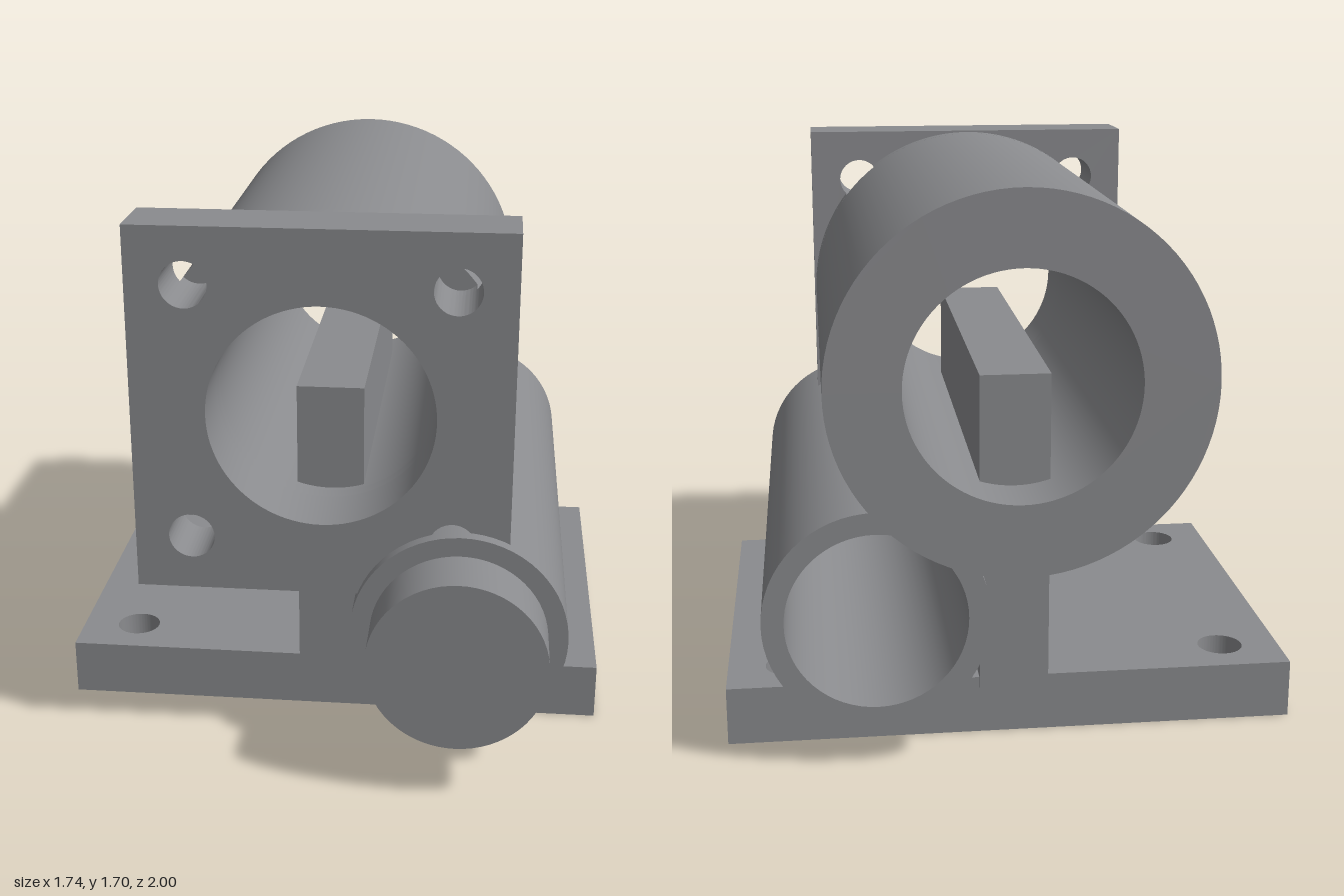
import * as THREE from 'three';
import { toCreasedNormals } from 'three/addons/utils/BufferGeometryUtils.js';

export function createModel() {
  const group = new THREE.Group();
  const grey = new THREE.MeshStandardMaterial({ color: 0x8a8b8e });
  grey.name = 'plain grey';

  const add = (name, geometry, x = 0, y = 0, z = 0) => {
    const mesh = new THREE.Mesh(toCreasedNormals(geometry, 0.5), grey);
    mesh.name = name;
    mesh.position.set(x, y, z);
    group.add(mesh);
    return mesh;
  };
  const extrude = (shape, depth) =>
    new THREE.ExtrudeGeometry(shape, { depth, bevelEnabled: false, curveSegments: 48 });
  const hole = (shape, x, y, r) => shape.holes.push(new THREE.Path().absarc(x, y, r, 0, Math.PI * 2, true));
  const rect = (hx, hy) => new THREE.Shape([
    new THREE.Vector2(-hx, -hy), new THREE.Vector2(hx, -hy),
    new THREE.Vector2(hx, hy), new THREE.Vector2(-hx, hy)]);
  const corners = [[1, 1], [-1, 1], [-1, -1], [1, -1]];

  const axisY = 1.133, R = 0.56, bore = 0.34, screw = 0.393, screwR = 0.07;

  // Base plate with four screw holes
  const base = rect(0.868, 0.64);
  corners.forEach(([sx, sz]) => hole(base, sx * 0.683, sz * 0.487, 0.07));
  add('basePlate', extrude(base, 0.18).rotateX(-Math.PI / 2), 0, 0, -0.17);

  // Upright web reaching into the bore of the main tube
  add('supportWeb', new THREE.BoxGeometry(0.21, 0.98, 1.31), 0, 0.64, -0.165);

  // Square front flange
  const flange = rect(0.565, 0.565);
  hole(flange, 0, 0, bore);
  corners.forEach(([sx, sy]) => hole(flange, sx * screw, sy * screw, screwR));
  add('frontFlange', extrude(flange, 0.21), 0, axisY, 0.56);

  // Main tube
  const ring = new THREE.Shape().absarc(0, 0, R, 0, Math.PI * 2, false);
  hole(ring, 0, 0, bore);
  add('mainTube', extrude(ring, 1.51), 0, axisY, -1);

  // Short collar of the tube, notched behind each screw hole
  const collar = new THREE.Shape();
  const d = Math.hypot(screw, screw);
  const delta = Math.acos((R * R + d * d - screwR * screwR) / (2 * R * d));
  for (let k = 0; k < 4; k++) {
    const a = Math.PI / 4 + k * Math.PI / 2;
    const cx = d * Math.cos(a), cy = d * Math.sin(a);
    const toward = t => Math.atan2(R * Math.sin(t) - cy, R * Math.cos(t) - cx);
    collar.absarc(cx, cy, screwR, toward(a - delta), toward(a + delta), true);
    collar.absarc(0, 0, R, a + delta, a + Math.PI / 2 - delta, false);
  }
  hole(collar, 0, 0, bore);
  add('notchedCollar', extrude(collar, 0.05), 0, axisY, 0.51);

  // Side tube: open at the back, closed by a smaller stepped cap in front
  const profile = [[0, 0.8], [0.265, 0.8], [0.265, -1], [0.33, -1], [0.33, 0.81], [0.27, 0.81], [0.27, 1], [0, 1]]
    .map(([r, z]) => new THREE.Vector2(r, z));
  add('sideTube', new THREE.LatheGeometry(profile, 64).rotateX(Math.PI / 2), 0.42, 0.457, 0);

  // Tapered bridge between the two tubes
  const bridge = new THREE.Shape([
    new THREE.Vector2(0.24, 0.74), new THREE.Vector2(0.09, 0.74),
    new THREE.Vector2(0.01, 1.01), new THREE.Vector2(0.33, 1.01)]);
  add('tubeBridge', extrude(bridge, 0.17).rotateY(Math.PI / 2), 0.36, 0, 0);

  return group;
}
